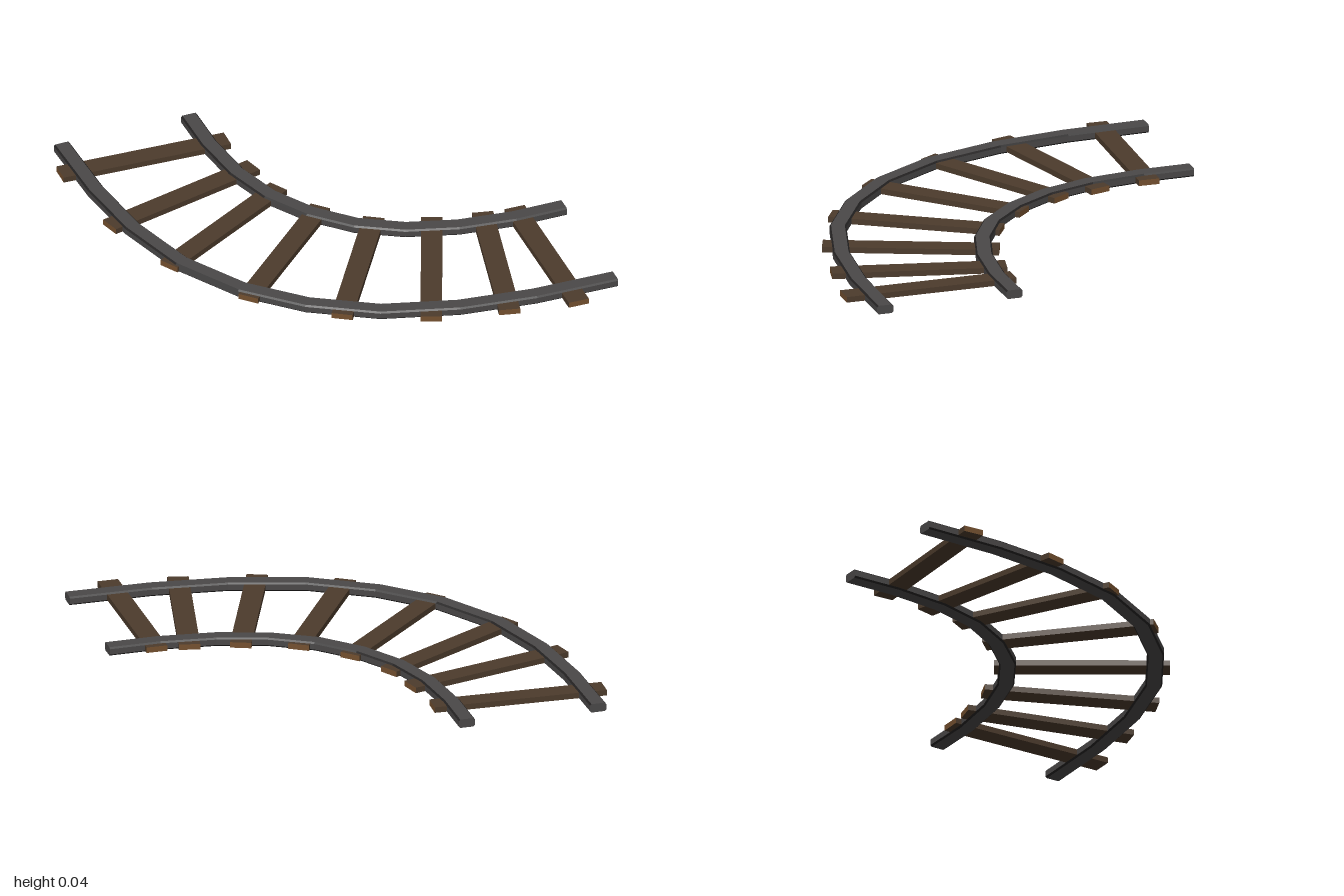
import * as THREE from 'three';

const flat = (name, color) => {
  const m = new THREE.MeshStandardMaterial({ color, flatShading: true });
  m.name = name;
  return m;
};

// Sweep a chamfered bar along a plan path of [x, z] points with mitred joints
function railGeometry(path, width, height, chamfer) {
  const w = width / 2, c = chamfer, h = height;
  const profile = [
    [-w + c, 0], [w - c, 0], [w, c], [w, h - c],
    [w - c, h], [-w + c, h], [-w, h - c], [-w, c],
  ];
  const pts = path.map(([x, z]) => new THREE.Vector2(x, z));
  const rings = pts.map((p, i) => {
    const before = p.clone().sub(pts[Math.max(i - 1, 0)]).normalize();
    const after = pts[Math.min(i + 1, pts.length - 1)].clone().sub(p).normalize();
    const t = before.clone().add(after).normalize();
    const miter = 1 / t.dot(i === 0 ? after : before);
    return profile.map(([s, y]) => [p.x + t.y * s * miter, y, p.y - t.x * s * miter]);
  });
  const faces = [], edges = [];
  for (let i = 0; i < rings.length - 1; i++) {
    for (let k = 0; k < 8; k++) {
      const n = (k + 1) % 8;
      const a = rings[i][k], b = rings[i][n], d = rings[i + 1][n], e = rings[i + 1][k];
      (k % 2 ? edges : faces).push(a, b, d, a, d, e);
    }
  }
  // End caps
  const first = rings[0], last = rings[rings.length - 1];
  for (let k = 1; k < 7; k++) {
    faces.push(first[0], first[k + 1], first[k], last[0], last[k], last[k + 1]);
  }
  const g = new THREE.BufferGeometry();
  g.setAttribute('position', new THREE.Float32BufferAttribute([...faces, ...edges].flat(), 3));
  g.addGroup(0, faces.length, 0);
  g.addGroup(faces.length, edges.length, 1);
  g.computeVertexNormals();
  return g;
}

export function createModel() {
  const model = new THREE.Group();
  model.name = 'curvedTrack';
  const steel = flat('railSteel', 0x4a4848);
  const steelEdge = flat('railEdge', 0x242222);
  const wood = flat('sleeperWood', 0x4c3b2c);
  const endGrain = flat('sleeperEndGrain', 0x74502f);

  // Rails
  const rails = {
    outerRail: [[-0.897, -1], [-0.89, -0.62], [-0.85, -0.285], [-0.752, 0.053], [-0.58, 0.342],
      [-0.357, 0.56], [-0.077, 0.73], [0.257, 0.83], [0.6, 0.873], [0.98, 0.88]],
    innerRail: [[-0.291, -1], [-0.291, -0.765], [-0.262, -0.51], [-0.193, -0.288], [-0.077, -0.096],
      [0.077, 0.062], [0.267, 0.174], [0.49, 0.243], [0.743, 0.275], [0.98, 0.275]],
  };
  for (const [name, path] of Object.entries(rails)) {
    const rail = new THREE.Mesh(railGeometry(path, 0.075, 0.04, 0.007), [steel, steelEdge]);
    rail.name = name;
    model.add(rail);
  }

  // Sleepers: outer end x, z and inner end x, z
  const sleepers = [
    [-0.985, -0.8, -0.2, -0.77], [-0.937, -0.336, -0.172, -0.532],
    [-0.81, 0.05, -0.132, -0.336], [-0.582, 0.418, -0.019, -0.122],
    [-0.25, 0.704, 0.167, 0.048], [0.108, 0.868, 0.405, 0.143],
    [0.45, 0.947, 0.627, 0.19], [0.759, 0.998, 0.772, 0.208],
  ];
  sleepers.forEach(([x0, z0, x1, z1], i) => {
    const length = Math.hypot(x1 - x0, z1 - z0);
    const sleeper = new THREE.Mesh(
      new THREE.BoxGeometry(length, 0.026, 0.095),
      [endGrain, endGrain, wood, wood, wood, wood],
    );
    sleeper.name = `sleeper${i + 1}`;
    sleeper.position.set((x0 + x1) / 2, 0.02, (z0 + z1) / 2);
    sleeper.rotation.y = -Math.atan2(z1 - z0, x1 - x0);
    model.add(sleeper);
  });
  return model;
}
